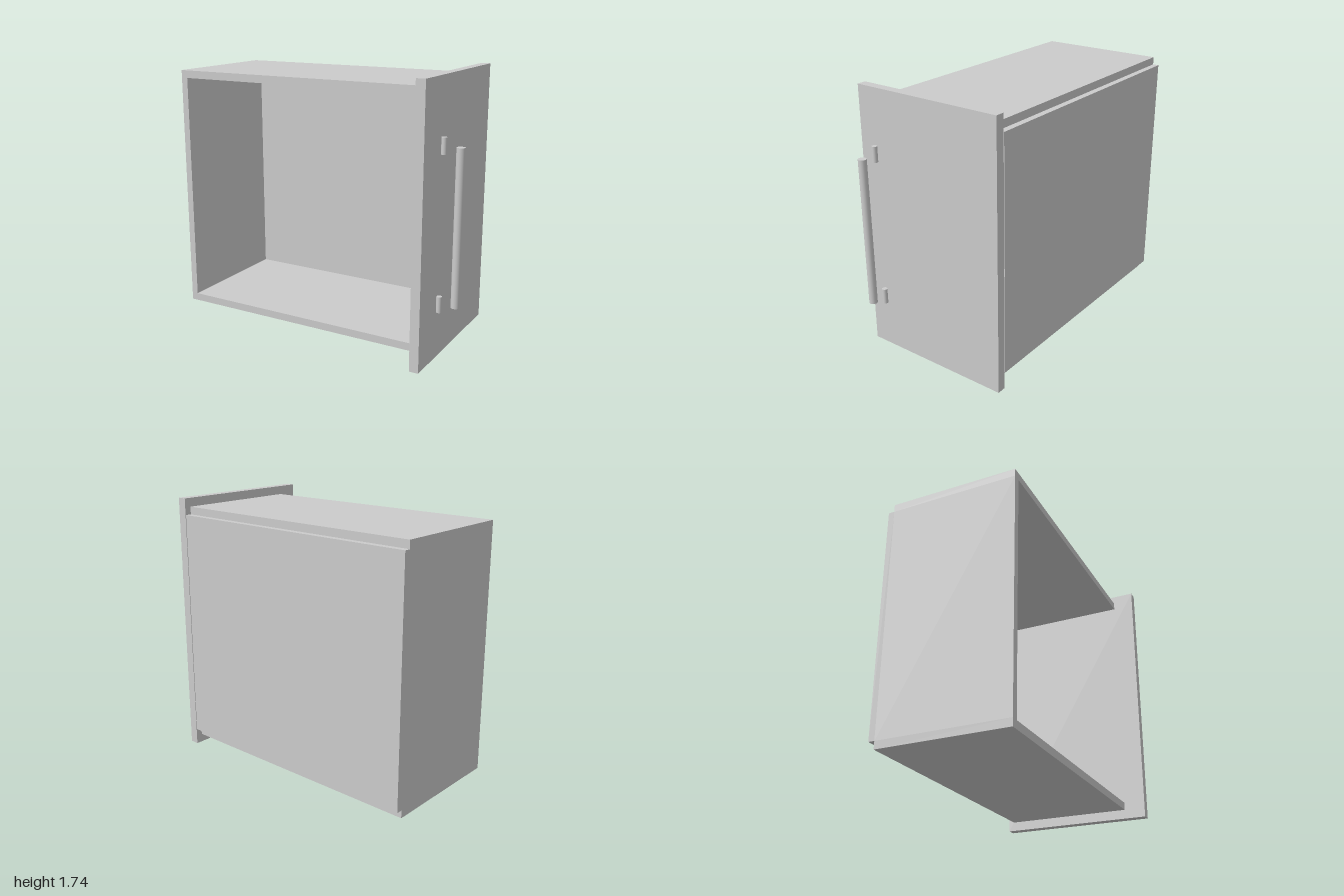
import * as THREE from 'three';

export function createModel() {
  const group = new THREE.Group();
  group.name = 'drawer';
  const material = new THREE.MeshStandardMaterial({ color: 0xcccccc });

  const add = (name, geometry, x, y, z) => {
    const mesh = new THREE.Mesh(geometry, material);
    mesh.name = name;
    mesh.position.set(x, y, z);
    group.add(mesh);
  };

  // Box given by its lower and upper limits on each axis
  const panel = (name, [x0, x1], [y0, y1], [z0, z1]) => add(
    name,
    new THREE.BoxGeometry(x1 - x0, y1 - y0, z1 - z0),
    (x0 + x1) / 2, (y0 + y1) / 2, (z0 + z1) / 2,
  );

  // Upright round bar
  const bar = (name, radius, x, [y0, y1], z) => add(
    name,
    new THREE.CylinderGeometry(radius, radius, y1 - y0, 16),
    x, (y0 + y1) / 2, z,
  );

  // Open carcass: two long boards, one end board and a set-back panel
  const width = [-1, 0.755];
  const depth = [-0.47, 0.37];
  const inner = [0.11, 1.63];
  panel('lowerBoard', width, [0.06, 0.11], depth);
  panel('upperBoard', width, [1.63, 1.68], depth);
  panel('endBoard', [-1, -0.955], inner, depth);
  panel('backPanel', width, inner, [-0.51, -0.47]);

  // Larger front plate closing the remaining end
  panel('facePlate', [0.76, 0.82], [0, 1.737], [-0.51, 0.51]);

  // Handle grip and its two posts
  bar('handleGrip', 0.026, 0.974, [0.395, 1.35], 0.352);
  for (const y of [0.395, 1.35]) {
    bar('handlePost', 0.017, 0.873, [y - 0.05, y + 0.05], 0.352);
  }

  return group;
}
